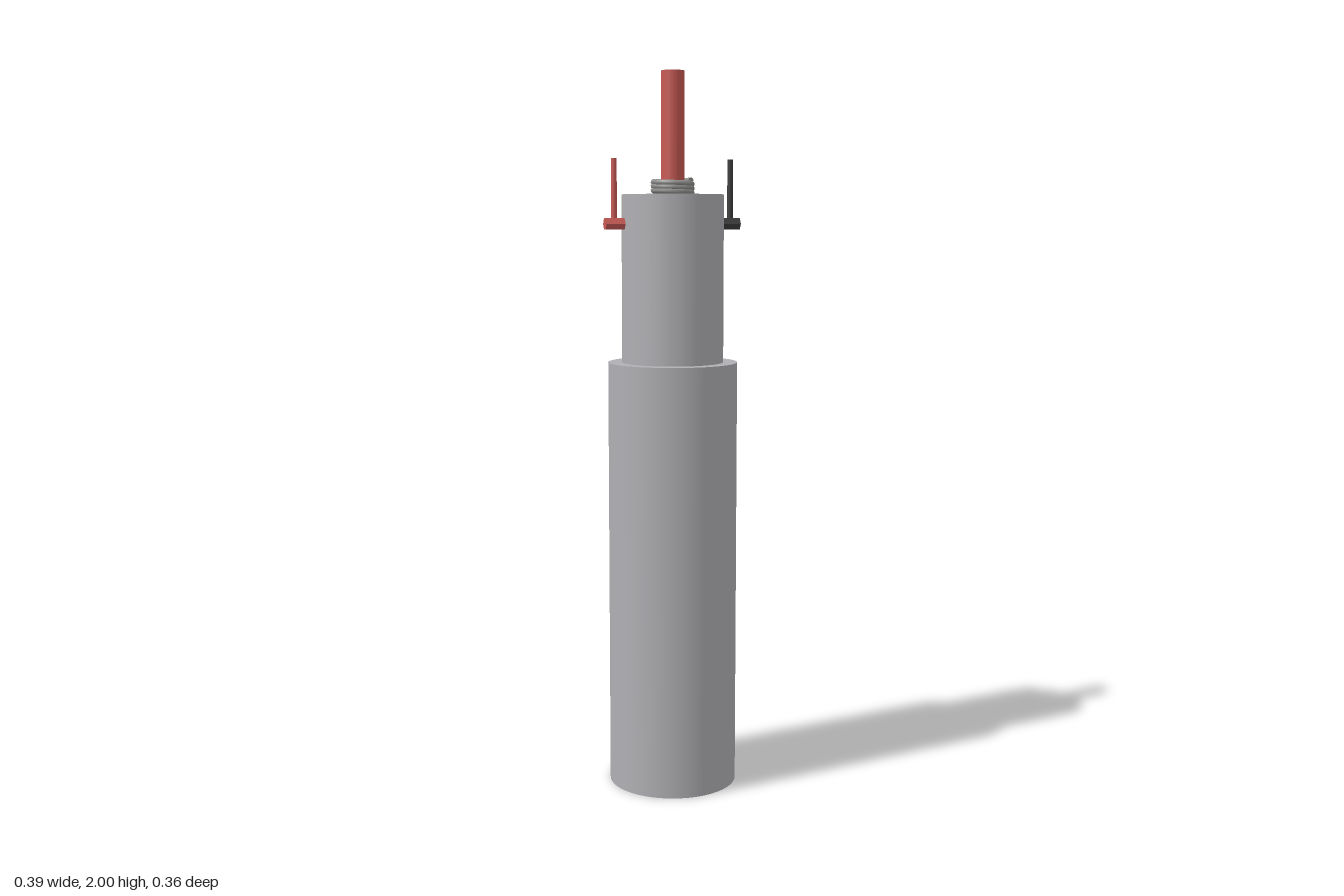
import * as THREE from 'three';

const material = (name, color) => {
  const m = new THREE.MeshStandardMaterial({ color });
  m.name = name;
  return m;
};

export function createModel() {
  const grey = material('grey casing', 0xb0afb3);
  const steel = material('spring steel', 0x8e8e8c);
  const red = material('red', 0xc85a54);
  const black = material('black', 0x3c3c3c);
  const model = new THREE.Group();
  model.name = 'cylinderAssembly';

  const add = (name, geometry, mat, parent = model) => {
    const mesh = new THREE.Mesh(geometry, mat);
    mesh.name = name;
    parent.add(mesh);
    return mesh;
  };
  const cylinder = (name, radius, y0, y1, mat, sides = 64, parent = model) => {
    const mesh = add(name, new THREE.CylinderGeometry(radius, radius, y1 - y0, sides), mat, parent);
    mesh.position.y = (y0 + y1) / 2;
    return mesh;
  };

  // Main casing and the core nested in the upper sleeve
  cylinder('body', 0.18, 0, 1.205, grey);
  cylinder('innerCore', 0.11, 1.205, 1.665, grey);
  cylinder('centreRod', 0.032, 1.665, 2, red, 32);

  // Hollow sleeve, leaving a narrow gap around the core
  const ring = new THREE.Shape().absarc(0, 0, 0.141, 0, Math.PI * 2);
  ring.holes.push(new THREE.Path().absarc(0, 0, 0.116, 0, Math.PI * 2, true));
  const sleeve = new THREE.ExtrudeGeometry(ring, { depth: 0.462, bevelEnabled: false, curveSegments: 64 });
  sleeve.rotateX(-Math.PI / 2);
  add('upperSleeve', sleeve, grey).position.y = 1.205;

  // Coil spring around the rod
  const turns = 3;
  const points = [];
  for (let i = 0; i <= turns * 16; i++) {
    const a = (i / 16) * Math.PI * 2;
    points.push(new THREE.Vector3(0.053 * Math.cos(a), 1.672 + 0.034 * i / (turns * 16), 0.053 * Math.sin(a)));
  }
  const coil = new THREE.CatmullRomCurve3(points);
  add('spring', new THREE.TubeGeometry(coil, turns * 24, 0.008, 8), steel);
  // Closing discs at the two cut ends of the wire
  for (const t of [0, 1]) {
    const disc = add('springEnd', new THREE.CircleGeometry(0.008, 8), steel);
    const p = coil.getPoint(t);
    disc.position.copy(p);
    disc.lookAt(p.clone().addScaledVector(coil.getTangent(t), t ? 1 : -1));
  }

  // Terminals with upright wires: black on the left, red on the right
  for (const [side, name, mat] of [[1, 'leftTerminal', black], [-1, 'rightTerminal', red]]) {
    const terminal = new THREE.Group();
    terminal.name = name;
    model.add(terminal);
    const stub = new THREE.CylinderGeometry(0.018, 0.018, 0.054, 6).toNonIndexed();
    stub.computeVertexNormals();
    stub.rotateZ(Math.PI / 2);
    add('terminalStub', stub, mat, terminal).position.set(side * 0.167, 1.587, 0);
    cylinder('wire', 0.008, 1.59, 1.763, mat, 16, terminal).position.x = side * 0.168;

    // Thin pin bridging the gap to the core
    const pin = new THREE.CylinderGeometry(0.007, 0.007, 0.014, 12);
    pin.rotateZ(Math.PI / 2);
    add('gapPin', pin, grey, terminal).position.set(side * 0.113, 1.587, 0);
  }

  return model;
}
